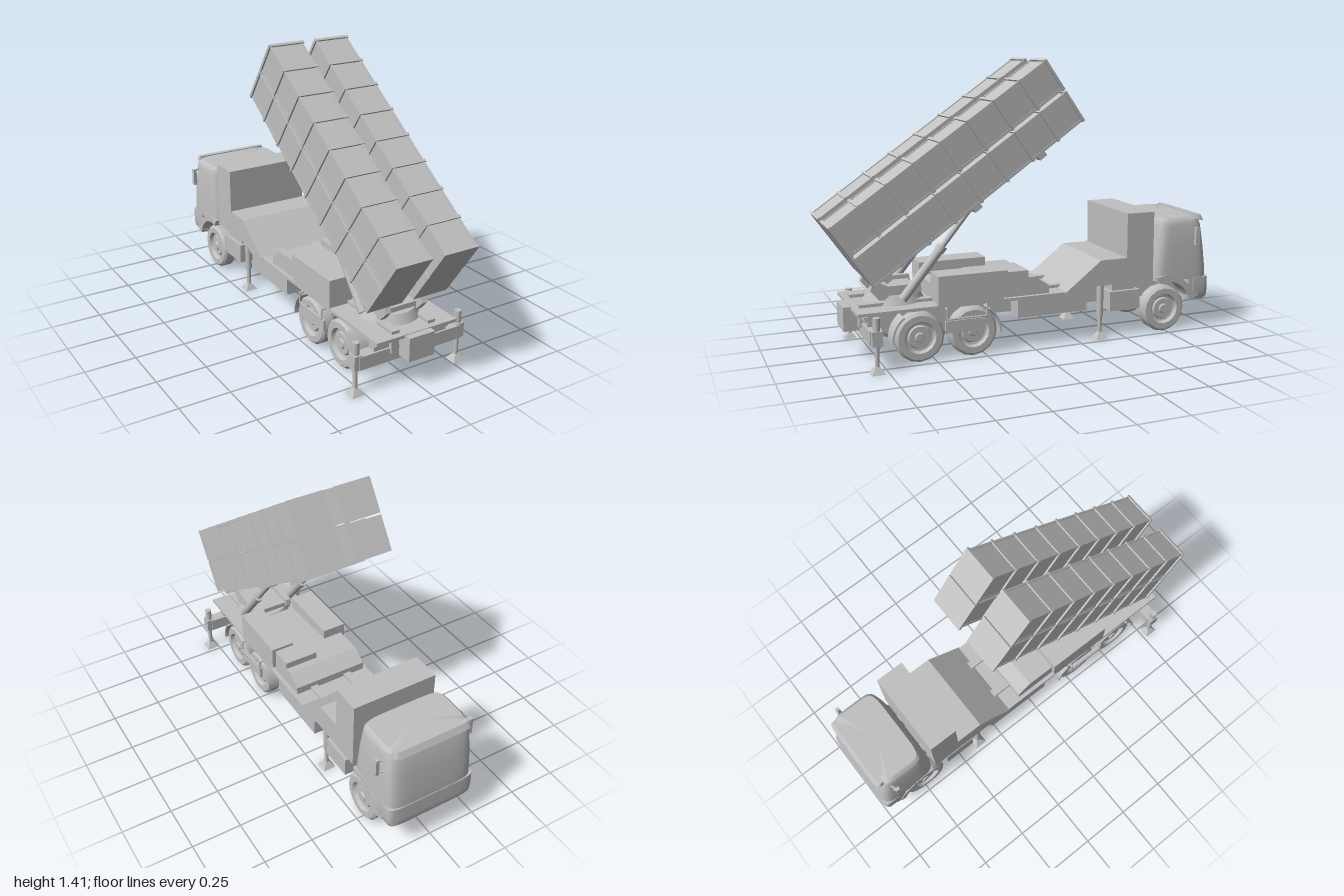
import * as THREE from 'three';
import { toCreasedNormals } from 'three/addons/utils/BufferGeometryUtils.js';

const grey = new THREE.MeshStandardMaterial({ color: 0xc0c0c0 });
grey.name = 'lightGrey';

function add(parent, name, geo, x = 0, y = 0, z = 0) {
  const m = new THREE.Mesh(geo, grey);
  m.name = name;
  m.position.set(x, y, z);
  parent.add(m);
  return m;
}

// Box given by its extents
function box(parent, name, x0, x1, y0, y1, z0, z1) {
  return add(parent, name, new THREE.BoxGeometry(x1 - x0, y1 - y0, z1 - z0),
    (x0 + x1) / 2, (y0 + y1) / 2, (z0 + z1) / 2);
}

// Side profile of [z, y] points, extruded across x0..x1
function profile(parent, name, pts, x0, x1) {
  const shape = new THREE.Shape(pts.map(([z, y]) => new THREE.Vector2(-z, y)));
  const geo = new THREE.ExtrudeGeometry(shape, { depth: x1 - x0, bevelEnabled: false });
  geo.rotateY(Math.PI / 2);
  return add(parent, name, geo, x0, 0, 0);
}

// Cylinder between two points
function rod(parent, name, a, b, r, r2 = r, sides = 14) {
  const p = new THREE.Vector3(...a), q = new THREE.Vector3(...b);
  const m = add(parent, name, new THREE.CylinderGeometry(r2, r, p.distanceTo(q), sides));
  m.position.copy(p).add(q).multiplyScalar(0.5);
  m.quaternion.setFromUnitVectors(new THREE.Vector3(0, 1, 0), q.sub(p).normalize());
  return m;
}

// Stacked rounded outlines: [y, halfWidth, zFront, zBack]
function loft(rows, power) {
  const n = 64, pos = [], idx = [];
  const soft = v => Math.sign(v) * Math.abs(v) ** power;
  for (const [y, w, zf, zb] of rows)
    for (let j = 0; j < n; j++) {
      const t = (j + 0.5) / n * Math.PI * 2;
      pos.push(w * soft(Math.cos(t)), y, (zf + zb) / 2 + (zb - zf) / 2 * soft(Math.sin(t)));
    }
  const last = rows.length - 1;
  for (let i = 0; i < last; i++)
    for (let j = 0; j < n; j++) {
      const a = i * n + j, b = i * n + (j + 1) % n, c = b + n, d = a + n;
      idx.push(a, d, b, b, d, c);
    }
  for (const i of [0, last]) {
    const [y, , zf, zb] = rows[i], c = pos.length / 3;
    pos.push(0, y, (zf + zb) / 2);
    for (let j = 0; j < n; j++) {
      const a = i * n + j, b = i * n + (j + 1) % n;
      idx.push(c, ...(i ? [b, a] : [a, b]));
    }
  }
  const g = new THREE.BufferGeometry();
  g.setAttribute('position', new THREE.Float32BufferAttribute(pos, 3));
  g.setIndex(idx);
  return toCreasedNormals(g, 0.6);
}

// Arched strip over a wheel
function arch(parent, name, s, z, inner, outer, from, to, x0, x1) {
  const shape = new THREE.Shape();
  shape.absarc(0, 0, outer, from, to, false);
  shape.absarc(0, 0, inner, to, from, true);
  const geo = new THREE.ExtrudeGeometry(shape, { depth: x1 - x0, bevelEnabled: false, curveSegments: 12 });
  geo.rotateY(Math.PI / 2);
  add(parent, name, toCreasedNormals(geo, 0.6), s > 0 ? x0 : -x1, 0.12, z);
}

function buildWheel(parent, s, z) {
  const pts = [[0, -0.037], [0.105, -0.037], [0.12, -0.025], [0.12, 0.025], [0.108, 0.037], [0.078, 0.037],
    [0.07, 0.018], [0.058, 0.016], [0.052, 0.026], [0.025, 0.026], [0.02, 0.034], [0, 0.034]];
  const geo = new THREE.LatheGeometry(pts.map(p => new THREE.Vector2(...p)), 16);
  add(parent, 'wheel', toCreasedNormals(geo, 0.5), s * 0.183, 0.12, z).rotation.z = -s * Math.PI / 2;
}

function buildJack(parent, x, z, top) {
  const g = new THREE.Group();
  g.name = 'stabiliserJack';
  rod(g, 'jackRod', [x, 0.03, z], [x, 0.15, z], 0.011);
  rod(g, 'jackSleeve', [x, 0.12, z], [x, top, z], 0.017);
  const foot = add(g, 'jackFoot', new THREE.CylinderGeometry(0.012, 0.046, 0.035, 4).toNonIndexed(), x, 0.0175, z);
  foot.geometry.computeVertexNormals();
  foot.rotation.y = Math.PI / 4;
  parent.add(g);
}

function buildCab(parent) {
  const cab = new THREE.Group();
  cab.name = 'cab';
  add(cab, 'cabBody', loft([[0.27, 0.235, -0.995, -0.67], [0.33, 0.235, -0.993, -0.67], [0.45, 0.232, -0.978, -0.685],
    [0.55, 0.226, -0.962, -0.7], [0.58, 0.22, -0.95, -0.705], [0.595, 0.205, -0.93, -0.715]], 0.3));
  add(cab, 'bumper', loft([[0.155, 0.22, -0.99, -0.87], [0.17, 0.23, -1, -0.87],
    [0.2, 0.236, -1, -0.87], [0.275, 0.236, -0.998, -0.87]], 0.3));
  // Sun visor above the windscreen
  add(cab, 'sunVisor', loft([[0.57, 0.205, -0.978, -0.93], [0.6, 0.2, -0.96, -0.93]], 0.35));
  for (const s of [-1, 1]) {
    box(cab, 'cabSideSill', Math.min(s * 0.2, s * 0.234), Math.max(s * 0.2, s * 0.234), 0.17, 0.28, -0.93, -0.87);
    arch(cab, 'frontFender', s, -0.735, 0.148, 0.18, 0.25, 1.85, 0.13, 0.238);
    add(cab, 'mirror', new THREE.BoxGeometry(0.018, 0.09, 0.022), s * 0.257, 0.497, -0.9);
    for (const y of [0.465, 0.535]) rod(cab, 'mirrorArm', [s * 0.215, y, -0.92], [s * 0.257, y, -0.9], 0.005);
  }
  parent.add(cab);
}

function buildChassis(parent) {
  const g = new THREE.Group();
  g.name = 'chassis';
  box(g, 'deck', -0.22, 0.22, 0.25, 0.265, -0.2, 0.87);
  box(g, 'centreHull', -0.215, 0.215, 0.16, 0.256, -0.29, 0.08);
  box(g, 'rearBox', -0.07, 0.07, 0.145, 0.262, 0.8, 0.905);
  box(g, 'rearBeam', -0.28, 0.28, 0.13, 0.195, 0.77, 0.83);
  box(g, 'rearPanel', -0.2, 0.2, 0.19, 0.25, 0.78, 0.82);
  // Ramp and equipment box behind the cab
  profile(g, 'rampAndEquipmentBox', [[-0.17, 0.255], [-0.17, 0.262], [-0.365, 0.41], [-0.51, 0.41],
    [-0.51, 0.637], [-0.662, 0.637], [-0.662, 0.28], [-0.33, 0.28], [-0.29, 0.25]], -0.225, 0.225);
  // Low cabinet with a sloping front
  profile(g, 'lowCabinet', [[0.48, 0.26], [0.48, 0.34], [0.135, 0.355], [-0.015, 0.355], [-0.09, 0.305], [-0.09, 0.26]], -0.2, 0.2);
  box(g, 'smallCabinet', 0.02, 0.2, 0.35, 0.39, 0.02, 0.3);
  for (const s of [-1, 1]) {
    const span = (name, a, b, ...rest) => box(g, name, Math.min(s * a, s * b), Math.max(s * a, s * b), ...rest);
    span('frameRail', 0.08, 0.12, 0.17, 0.28, -0.92, 0.84);
    profile(g, 'sideLocker', [[0.485, 0.26], [0.485, 0.405], [0.135, 0.405], [0.135, 0.29], [0.165, 0.26]],
      s > 0 ? 0.095 : -0.22, s > 0 ? 0.22 : -0.095);
    span('toolBox', 0.1, 0.22, 0.14, 0.24, -0.59, -0.42);
    span('toolBoxHanger', 0.12, 0.2, 0.24, 0.285, -0.57, -0.44);
    span('sideTank', 0.222, 0.235, 0.13, 0.19, 0.26, 0.455);
    span('tailLight', 0.14, 0.2, 0.22, 0.24, 0.82, 0.835);
    // Side guard rail
    const guard = [[0.22, 0.25, 0.45], [0.242, 0.25, 0.45], [0.242, 0.2, 0.45], [0.242, 0.2, 0.25],
      [0.242, 0.25, 0.25], [0.22, 0.25, 0.25]].map(([x, y, z]) => [s * x, y, z]);
    for (let i = 0; i < 5; i++) rod(g, 'sideGuard', guard[i], guard[i + 1], 0.005, 0.005, 8);
    // Mudguards and wheels
    arch(g, 'rearMudguard', s, 0.575, 0.128, 0.137, 2.2, 3.25, 0.145, 0.23);
    arch(g, 'rearMudguard', s, 0.31, 0.128, 0.137, -0.1, 0.95, 0.145, 0.23);
    for (const z of [0.575, 0.31, -0.735]) buildWheel(g, s, z);
    buildJack(g, s * 0.285, 0.8, 0.26);
    box(g, 'jackBracket', s * 0.285 - 0.02, s * 0.285 + 0.02, 0.13, 0.2, 0.775, 0.825);
    buildJack(g, s * 0.195, -0.375, 0.285);
  }
  for (const z of [0.575, 0.31, -0.735]) rod(g, 'axle', [-0.16, 0.12, z], [0.16, 0.12, z], 0.025);
  parent.add(g);
}

function buildLauncher(parent) {
  const mount = new THREE.Group();
  mount.name = 'launcherMount';
  add(mount, 'turntable', new THREE.CylinderGeometry(0.125, 0.15, 0.05, 32), 0, 0.285, 0.645);
  box(mount, 'turntableBase', -0.09, 0.09, 0.3, 0.335, 0.55, 0.74);
  for (const s of [-1, 1]) {
    profile(mount, 'mountBracket', [[0.785, 0.34], [0.765, 0.385], [0.7, 0.355], [0.54, 0.355], [0.535, 0.32],
      [0.6, 0.29], [0.74, 0.29]], s * 0.1 - 0.015, s * 0.1 + 0.015);
    // Elevating cylinders
    const at = t => [s * 0.135, 0.29 + 0.42 * t, 0.635 - 0.345 * t];
    rod(mount, 'elevatingCylinder', at(0), at(0.55), 0.022);
    rod(mount, 'elevatingRod', at(0.5), at(1), 0.014);
    rod(mount, 'cylinderCollar', at(0.52), at(0.58), 0.026);
    const e = at(1);
    rod(mount, 'rodPivot', [e[0] - 0.03, e[1], e[2]], [e[0] + 0.03, e[1], e[2]], 0.02);
  }
  parent.add(mount);

  // Tilted canister pack, running along its own -z
  const pack = new THREE.Group();
  pack.name = 'canisterPack';
  pack.position.set(0, 0.375, 0.786);
  pack.rotation.x = 0.61;
  const L = 1.286, H = 0.176;
  for (const s of [-1, 1]) {
    const cx = s * 0.126;
    for (const y0 of [0, 0.185]) {
      box(pack, 'canister', cx - 0.086, cx + 0.086, y0 + 0.008, y0 + H - 0.008, -L + 0.003, -0.003);
      // Raised ribs around each canister
      for (let i = 0; i <= 8; i++) {
        const z = -0.007 - i * (L - 0.014) / 8;
        box(pack, 'rib', cx - 0.095, cx + 0.095, y0, y0 + H, z - 0.007, z + 0.007);
      }
      // Edge strips along the corners
      for (const sx of [-1, 1]) for (const y of [y0 + 0.01, y0 + H - 0.01])
        add(pack, 'edgeStrip', new THREE.BoxGeometry(0.01, 0.012, L - 0.01), cx + sx * 0.084, y, -L / 2);
    }
    box(pack, 'endJoint', cx - 0.09, cx + 0.09, 0.17, 0.19, -0.012, 0);
    box(pack, 'supportRail', cx - 0.02, cx + 0.02, -0.018, 0.009, -1.03, -0.02);
  }
  for (const z of [-0.08, -0.61, -1.015]) box(pack, 'crossBar', -0.2, 0.2, -0.024, 0.004, z - 0.022, z + 0.022);
  parent.add(pack);
}

export function createModel() {
  const model = new THREE.Group();
  model.name = 'launcherTruck';
  buildChassis(model);
  buildCab(model);
  buildLauncher(model);
  return model;
}
